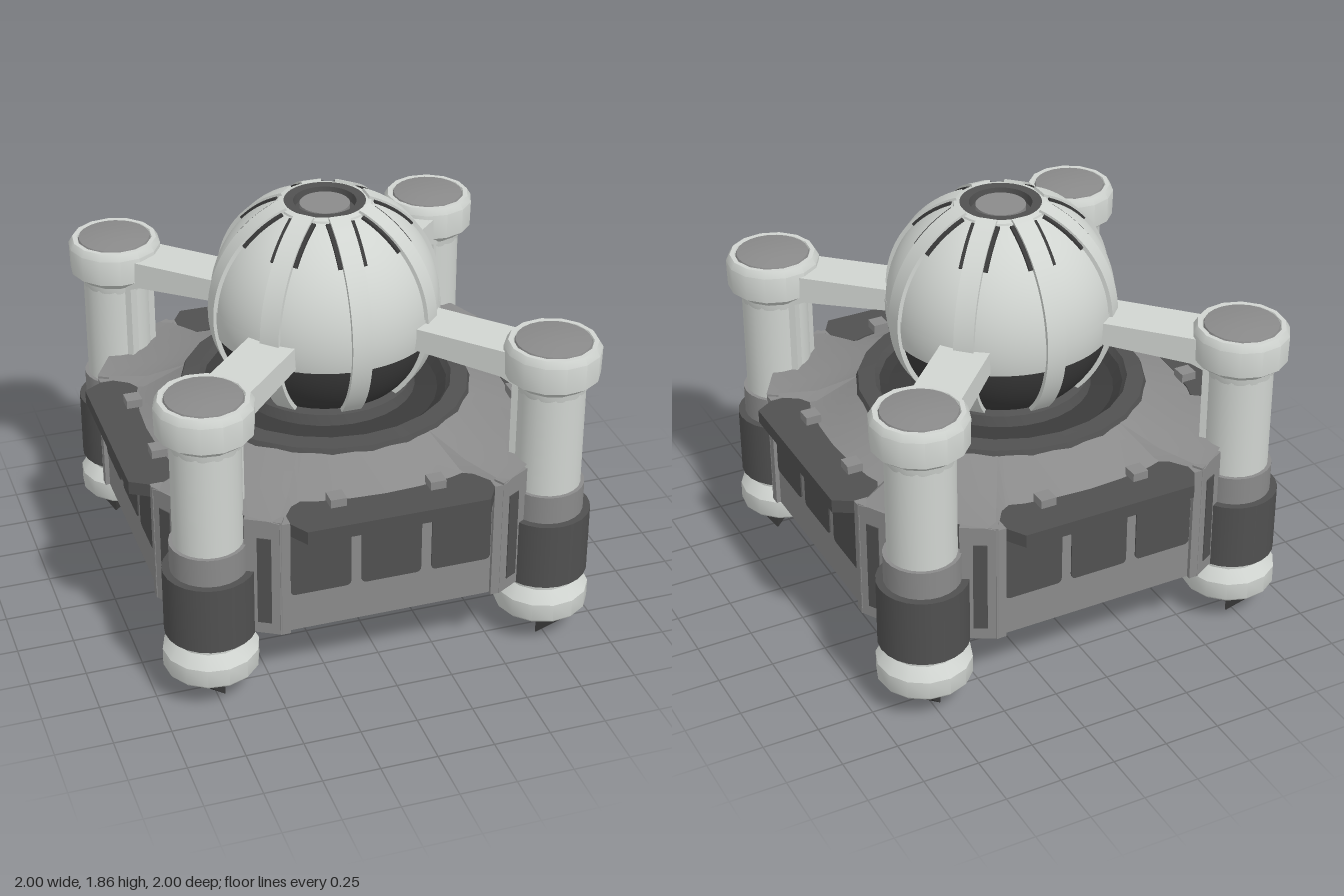
import * as THREE from 'three';
import { toCreasedNormals } from 'three/addons/utils/BufferGeometryUtils.js';

const mat = (name, color, side = THREE.FrontSide) => {
  const m = new THREE.MeshStandardMaterial({ color, side });
  m.name = name;
  return m;
};

export function createModel() {
  const light = mat('paleShell', 0xd0d4d0);
  const mid = mat('midGrey', 0x8a8a8a, THREE.DoubleSide);
  const dark = mat('darkGrey', 0x505050);
  const black = mat('charcoal', 0x3a3a3a, THREE.DoubleSide);

  const model = new THREE.Group();
  const add = (parent, name, geo, material, x = 0, y = 0, z = 0, ry = 0) => {
    const mesh = new THREE.Mesh(geo, material);
    mesh.name = name;
    mesh.position.set(x, y, z);
    mesh.rotation.y = ry;
    parent.add(mesh);
    return mesh;
  };
  const box = (w, h, d) => new THREE.BoxGeometry(w, h, d);
  const lathe = (pts, sides = 48) => toCreasedNormals(
    new THREE.LatheGeometry(pts.map(p => new THREE.Vector2(...p)), sides), 0.6);
  const extrude = (shape, depth, curveSegments = 6) => new THREE.ExtrudeGeometry(
    shape, { depth, bevelEnabled: false, curveSegments });
  const poly = pts => new THREE.Shape(pts.map(p => new THREE.Vector2(...p)));

  // ---- Dome ----
  const domeY = 1.38;
  const dome = new THREE.Group();
  dome.name = 'dome';
  dome.position.y = domeY;
  model.add(dome);
  const shell = (r, t0, t1) => new THREE.SphereGeometry(r, 64, 20, 0, Math.PI * 2, t0, t1 - t0);
  add(dome, 'upperPanels', shell(0.5, 0.36, 1.52), light);
  add(dome, 'equatorBand', shell(0.504, 1.5, 1.77), light);
  add(dome, 'lowerWindows', shell(0.498, 1.77, 2.45), black);
  const arc = (r0, r1, a0, a1) => {
    const s = new THREE.Shape();
    s.absarc(0, 0, r1, a0, a1, false);
    s.absarc(0, 0, r0, a1, a0, true);
    return s;
  };
  const strip = (r, a0, a1, w) => toCreasedNormals(
    extrude(arc(0.47, r, a0, a1), w, 28).translate(0, 0, -w / 2), 0.5);
  const rib = strip(0.516, -0.82, 1.2, 0.088);
  const slot = strip(0.506, 0.72, 1.15, 0.125);
  for (let i = 0; i < 8; i++) {
    add(dome, 'rib', rib, light, 0, 0, 0, i * Math.PI / 4);
    add(dome, 'ribSlot', slot, black, 0, 0, 0, i * Math.PI / 4);
  }
  // Crown opening
  add(model, 'crownRim', lathe([[0.205, 1.83], [0.2, 1.846], [0.175, 1.852]]), light);
  add(model, 'crownRing', lathe([[0.178, 1.84], [0.175, 1.853], [0.135, 1.85], [0.13, 1.81], [0, 1.81]]), dark);
  add(model, 'crownLens', new THREE.CylinderGeometry(0.108, 0.108, 0.03, 32), mid, 0, 1.825);

  // ---- Deck: lofted from the wall outline up to a circular collar ----
  const side = [[-0.62, 0.84, 0.9], [-0.5, 0.92, 0.88], [-0.44, 0.9, 0.84], [-0.33, 0.9, 0.84],
    [-0.22, 0.9, 0.84], [-0.11, 0.9, 0.84], [0, 0.9, 0.84], [0.11, 0.9, 0.84], [0.22, 0.9, 0.84],
    [0.33, 0.9, 0.84], [0.44, 0.9, 0.84], [0.5, 0.92, 0.88], [0.62, 0.84, 0.9]];
  const outline = [];
  for (let q = 0; q < 4; q++) {
    const c = Math.round(Math.cos(q * Math.PI / 2)), s = Math.round(Math.sin(q * Math.PI / 2));
    for (const [x, z, y] of side) outline.push([x * c + z * s, -x * s + z * c, y]);
  }
  const verts = [], index = [], n = outline.length;
  for (const [x, z, y] of outline) {
    const l = Math.hypot(x, z);
    verts.push(x, y, z);
    verts.push(x / l * 0.82, 0.87 + (y - 0.84) * 0.8, z / l * 0.82);
    verts.push(x / l * 0.63, 0.985, z / l * 0.63);
  }
  for (let i = 0; i < n; i++) {
    for (let k = 0; k < 2; k++) {
      const a = i * 3 + k, b = ((i + 1) % n) * 3 + k;
      index.push(a, b, a + 1, b, b + 1, a + 1);
    }
  }
  const deck = new THREE.BufferGeometry();
  deck.setAttribute('position', new THREE.Float32BufferAttribute(verts, 3));
  deck.setIndex(index);
  add(model, 'deck', toCreasedNormals(deck, 0.4), mid);
  add(model, 'deckCollar', lathe([[0.65, 0.965], [0.635, 1.0], [0.56, 1.01], [0.54, 0.98]], 24), dark);
  add(model, 'domeWell', lathe([[0.56, 0.985], [0.5, 0.95], [0.36, 0.96], [0.33, 1.02]], 32), black);
  add(model, 'domeBase', lathe([[0.4, 0.97], [0.385, 1.015], [0.34, 1.03]], 32), dark);

  // ---- Underside ----
  add(model, 'underside', lathe([[0.25, 0.86], [0.5, 0.88], [0.55, 0.84], [0.85, 0.82]], 32), black);
  add(model, 'hub', lathe([[0, 0.66], [0.1, 0.66], [0.13, 0.74], [0.26, 0.8], [0.28, 0.88]], 20), dark);
  add(model, 'hubTip', lathe([[0, 0.6], [0.06, 0.6], [0.08, 0.67]], 16), mid);

  // ---- Shared side and corner geometry ----
  const awningHalf = [[0.4, 1], [0.48, 0.87], [0.45, 0.82], [0.36, 0.77], [0.3, 0.79], [0.15, 0.812]];
  const awning = extrude(poly([...awningHalf, [0, 0.82],
    ...awningHalf.slice().reverse().map(([x, z]) => [-x, z])]), 0.06).rotateX(Math.PI / 2);
  const pane = new THREE.Shape();
  pane.moveTo(-0.133, 0.81);
  pane.lineTo(-0.133, 0.53);
  pane.quadraticCurveTo(-0.133, 0.505, -0.108, 0.505);
  pane.lineTo(0.108, 0.505);
  pane.quadraticCurveTo(0.133, 0.505, 0.133, 0.53);
  pane.lineTo(0.133, 0.81);
  const paneGeo = extrude(pane, 0.052);

  const cap = lathe([[0, 1.22], [0.15, 1.22], [0.155, 1.25], [0.205, 1.29], [0.208, 1.41],
    [0.19, 1.44], [0.17, 1.44], [0.165, 1.43]], 14);
  const capTop = lathe([[0.165, 1.43], [0.16, 1.442], [0.09, 1.453], [0, 1.456]], 24);
  const foot = lathe([[0.165, 0.17], [0.17, 0.14], [0.2, 0.14], [0.207, 0.15], [0.207, 0.23],
    [0.165, 0.285], [0.165, 0.34]], 14);
  const claw = extrude(poly([[1.24, 0.16], [1.24, 0.14], [1.09, 0], [1.085, 0], [1.085, 0.16]]), 0.15)
    .translate(0, 0, -0.075).rotateY(-Math.PI / 2);
  const armGeo = extrude(poly([[0.42, 1.30], [0.88, 1.27], [0.95, 1.24], [0.95, 1.39], [0.42, 1.4]]), 0.22)
    .translate(0, 0, -0.11).rotateY(-Math.PI / 2);
  const cyl = (r, y0, y1) => new THREE.CylinderGeometry(r, r, y1 - y0, 24).translate(0, (y0 + y1) / 2, 0);

  for (let q = 0; q < 4; q++) {
    // Side wall with windows, awning and angled end posts
    const wall = new THREE.Group();
    wall.name = 'wallSide';
    wall.rotation.y = q * Math.PI / 2;
    model.add(wall);
    add(wall, 'wall', box(0.94, 0.52, 0.04), mid, 0, 0.585, 0.88);
    add(wall, 'awning', awning, dark, 0, 0.872);
    for (const x of [-0.312, 0, 0.312]) add(wall, 'window', paneGeo, dark, x, 0, 0.854);
    for (const s of [-1, 1]) {
      add(wall, 'awningClip', box(0.07, 0.05, 0.07), mid, s * 0.22, 0.885, 0.825);
      add(wall, 'wallEdge', box(0.045, 0.55, 0.06), mid, s * 0.472, 0.6, 0.89);
      add(wall, 'cornerPost', box(0.16, 0.56, 0.05), mid, s * 0.545, 0.605, 0.86, s * 0.516);
      add(wall, 'postSlot', box(0.06, 0.42, 0.058), dark, s * 0.54, 0.59, 0.863, s * 0.516);
    }

    // Corner pillar; local +z points outward along the diagonal
    const corner = new THREE.Group();
    corner.name = 'cornerPillar';
    corner.rotation.y = Math.PI / 4 + q * Math.PI / 2;
    model.add(corner);
    const R = 1.068;
    add(corner, 'arm', armGeo, light);
    add(corner, 'cap', cap, light, 0, 0, R);
    add(corner, 'capTop', capTop, mid, 0, 0, R);
    add(corner, 'column', cyl(0.148, 0.7, 1.24), light, 0, 0, R);
    add(corner, 'columnSpine', box(0.2, 0.5, 0.12), light, 0, 1.0, 0.99);
    add(corner, 'collar', cyl(0.165, 0.6, 0.76), mid, 0, 0, R);
    add(corner, 'clamp', cyl(0.197, 0.32, 0.63), dark, 0, 0, R);
    add(corner, 'backPlate', box(0.31, 0.55, 0.04), dark, 0, 0.605, 0.99);
    add(corner, 'foot', foot, light, 0, 0, R);
    add(corner, 'footSole', cyl(0.168, 0.15, 0.18), dark, 0, 0, R);
    add(corner, 'claw', claw, black);
  }
  return model;
}
